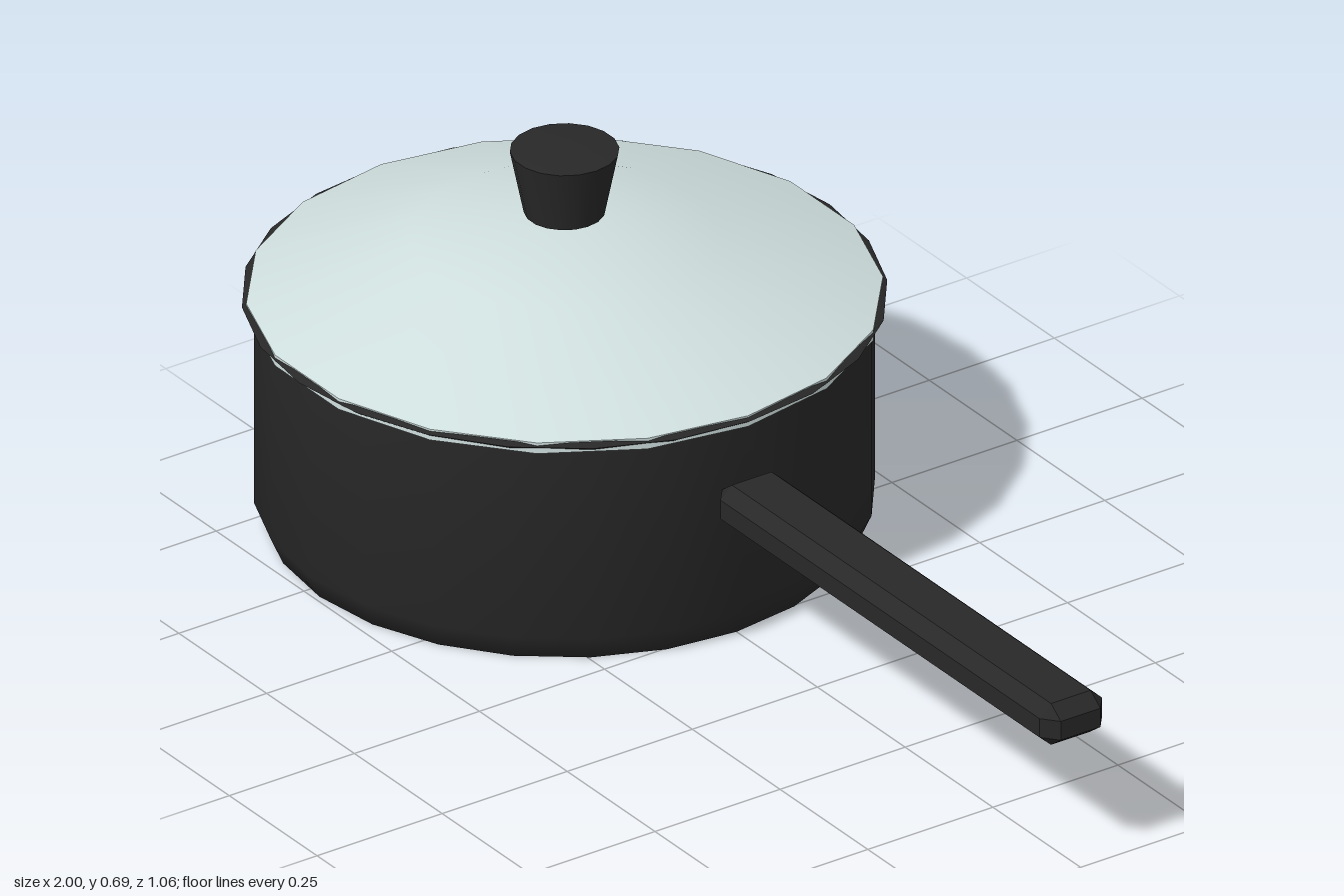
import * as THREE from 'three';
import { toCreasedNormals } from 'three/addons/utils/BufferGeometryUtils.js';
import { ConvexGeometry } from 'three/addons/geometries/ConvexGeometry.js';

const POT_X = -0.47;

// Turned part from a bottom-to-top [radius, height] profile, one corner facing +x
function turned(profile, sides, crease) {
  const points = profile.map(([r, y]) => new THREE.Vector2(r, y));
  return toCreasedNormals(new THREE.LatheGeometry(points, sides, Math.PI / 2), crease);
}

// Box with every edge cut off; half sizes and bevel depth per axis
function chamferedBox(half, bevel) {
  const points = [];
  for (const sx of [-1, 1]) for (const sy of [-1, 1]) for (const sz of [-1, 1]) {
    const s = [sx, sy, sz];
    for (let face = 0; face < 3; face++) {
      const p = half.map((h, i) => s[i] * (i === face ? h : h - bevel[i]));
      points.push(new THREE.Vector3(...p));
    }
  }
  return new ConvexGeometry(points);
}

export function createModel() {
  const group = new THREE.Group();
  const black = new THREE.MeshStandardMaterial({ color: 0x282828 });
  black.name = 'black enamel';
  const glass = new THREE.MeshStandardMaterial({ color: 0xcfdfde });
  glass.name = 'pale glass';

  const add = (name, geometry, material, x, y = 0) => {
    const mesh = new THREE.Mesh(geometry, material);
    mesh.name = name;
    mesh.position.set(x, y, 0);
    group.add(mesh);
  };

  // Hollow pot with a chamfered foot
  add('potBody', turned([
    [0, 0], [0.49, 0], [0.51, 0.045], [0.51, 0.405],
    [0.49, 0.405], [0.49, 0.03], [0, 0.03],
  ], 24, 1.2), black, POT_X);

  // Thin band around the lid edge
  add('lidRim', turned([
    [0.5, 0.401], [0.515, 0.401], [0.53, 0.411], [0.52, 0.416], [0.5, 0.416],
  ], 24, 0.6), black, POT_X);

  // Domed lid with a short lip and a closed underside
  add('lid', turned([
    [0, 0.55], [0.25, 0.505], [0.5, 0.398], [0.523, 0.398],
    [0.523, 0.418], [0.254, 0.52], [0, 0.565],
  ], 18, 0.7), glass, POT_X);

  // Flared knob with a slightly raised top
  add('knob', turned([
    [0, 0.563], [0.067, 0.566], [0.09, 0.68], [0, 0.69],
  ], 18, 0.7), black, POT_X);

  // Straight bevelled handle
  add('handle', chamferedBox([0.4825, 0.0385, 0.0625], [0.028, 0.021, 0.023]),
    black, 0.5175, 0.267);

  return group;
}
